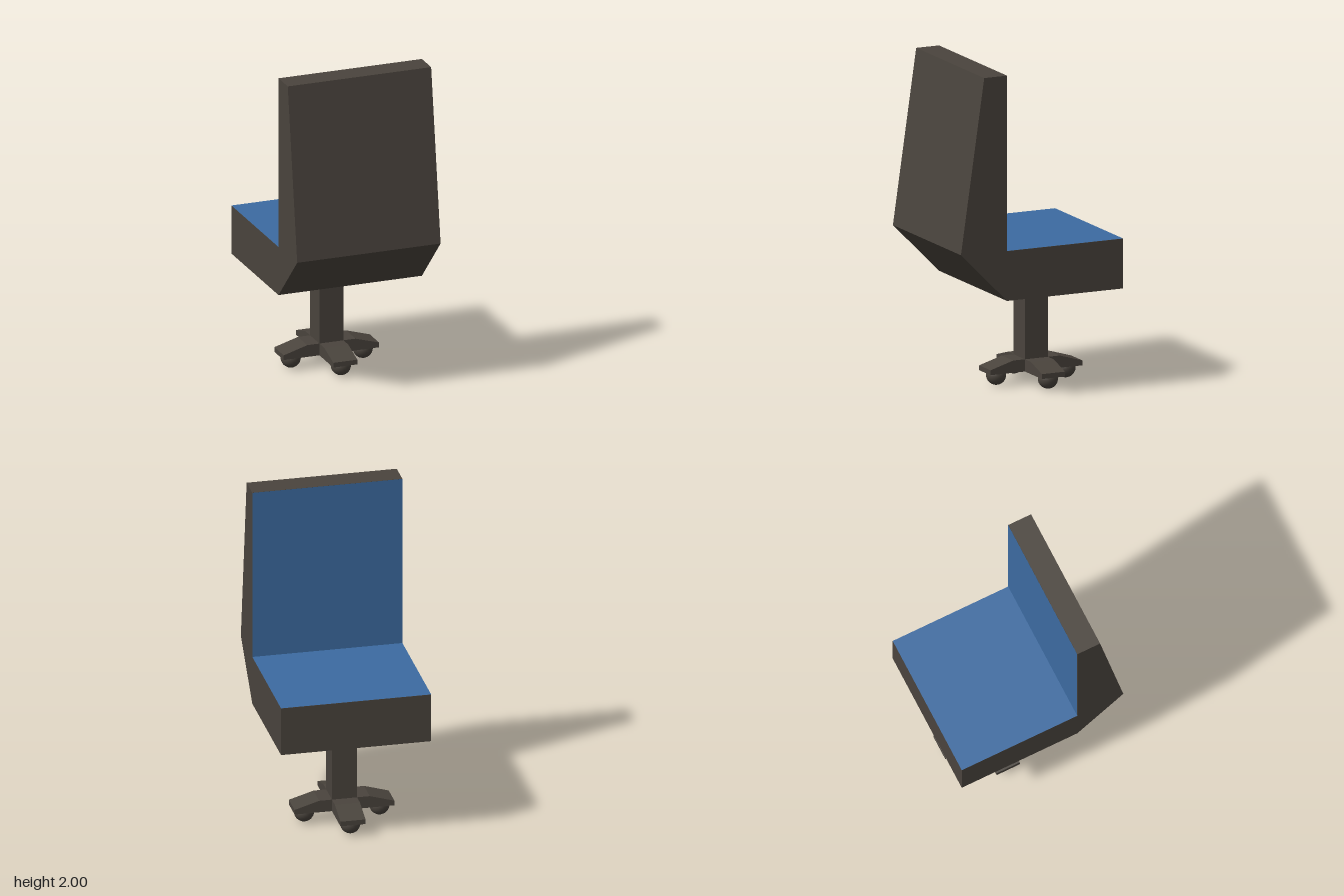
import * as THREE from 'three';

// Side profile given as [z, y] points, extruded along x and centred on x = 0
function extrudeProfile(points, width) {
  const shape = new THREE.Shape(points.map(([z, y]) => new THREE.Vector2(z, y)));
  const geometry = new THREE.ExtrudeGeometry(shape, { depth: width, bevelEnabled: false });
  geometry.translate(0, 0, -width / 2);
  geometry.rotateY(-Math.PI / 2);
  return geometry;
}

export function createModel() {
  const frame = new THREE.MeshStandardMaterial({ color: 0x4a443d });
  frame.name = 'dark frame';
  const fabric = new THREE.MeshStandardMaterial({ color: 0x3c6ba1 });
  fabric.name = 'blue fabric';

  const chair = new THREE.Group();
  chair.name = 'officeChair';
  const add = (parent, name, geometry, material) => {
    const mesh = new THREE.Mesh(geometry, material);
    mesh.name = name;
    parent.add(mesh);
    return mesh;
  };

  const width = 0.92, post = 0.154;
  const seatFront = -0.54, seatTop = 0.925, seatBottom = 0.62, backFace = 0.233, top = 2;

  // Seat and backrest in one solid, the seat facing -z
  add(chair, 'seatAndBackrest', extrudeProfile([
    [seatFront, seatBottom], [backFace, seatBottom], [0.54, 0.93],
    [0.385, top], [backFace, top], [backFace, seatTop], [seatFront, seatTop],
  ], width), frame);

  // Fabric faces
  const seatDepth = backFace - seatFront;
  const seatPad = add(chair, 'seatFabric', new THREE.PlaneGeometry(width, seatDepth), fabric);
  seatPad.rotation.x = -Math.PI / 2;
  seatPad.position.set(0, seatTop + 0.001, seatFront + seatDepth / 2);
  const backPad = add(chair, 'backrestFabric', new THREE.PlaneGeometry(width, top - seatTop), fabric);
  backPad.rotation.y = Math.PI;
  backPad.position.set(0, (top + seatTop) / 2, backFace - 0.001);

  // Post and four-armed base
  const base = new THREE.Group();
  base.name = 'base';
  base.position.z = -0.152;
  chair.add(base);
  const armBottom = 0.08;
  const column = add(base, 'post', new THREE.BoxGeometry(post, seatBottom - armBottom, post), frame);
  column.position.y = (seatBottom + armBottom) / 2;

  const armGeometry = extrudeProfile([
    [post / 2, armBottom], [0.306, armBottom], [0.306, 0.11], [0.155, 0.155], [post / 2, 0.155],
  ], post);
  const wheelGeometry = new THREE.SphereGeometry(0.061, 20, 14);
  for (let i = 0; i < 4; i++) {
    const leg = new THREE.Group();
    leg.name = 'leg';
    leg.rotation.y = i * Math.PI / 2;
    add(leg, 'arm', armGeometry, frame);
    add(leg, 'caster', wheelGeometry, frame).position.set(0, 0.061, 0.231);
    base.add(leg);
  }
  return chair;
}
